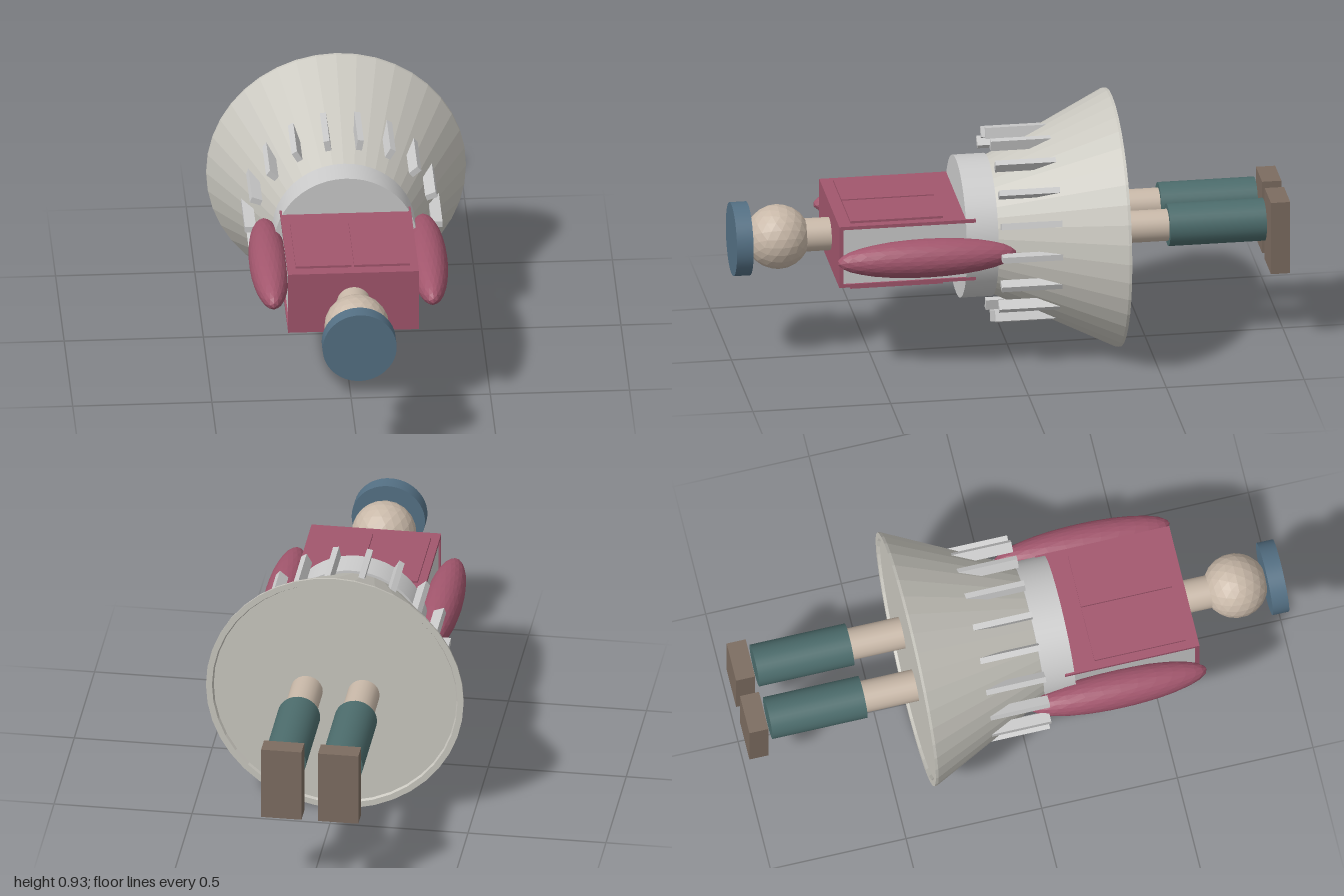
import * as THREE from 'three';

const CY = 0.47; // height of the long axis

const mat = (color, flatShading = false) =>
  new THREE.MeshStandardMaterial({ color, flatShading, side: THREE.DoubleSide });

export function createModel() {
  const model = new THREE.Group();
  const grey = mat(0xcccccc), red = mat(0xa2566d), redFlat = mat(0xa2566d, true);
  const skin = mat(0xc8b8a8), skinFlat = mat(0xc8b8a8, true), blue = mat(0x547084);
  const teal = mat(0x4c6c6c), brown = mat(0x7c6c60), skirtGrey = mat(0xc8c6be, true);

  const add = (name, geometry, material, x = 0, y = CY, z = 0) => {
    const mesh = new THREE.Mesh(geometry, material);
    mesh.name = name;
    mesh.position.set(x, y, z);
    model.add(mesh);
    return mesh;
  };
  // Box given by its limits on each axis
  const box = (name, m, x0, x1, y0, y1, z0, z1) =>
    add(name, new THREE.BoxGeometry(x1 - x0, y1 - y0, z1 - z0), m,
      (x0 + x1) / 2, (y0 + y1) / 2, (z0 + z1) / 2);
  // Cylinder lying along z
  const rod = (name, m, r, z0, z1, x = 0, sides = 40) =>
    add(name, new THREE.CylinderGeometry(r, r, z1 - z0, sides).rotateX(Math.PI / 2), m,
      x, CY, (z0 + z1) / 2);

  // Head, neck and cap
  rod('cap', blue, 0.133, 0.94, 1.0, 0, 48);
  add('head', new THREE.IcosahedronGeometry(0.117, 3), skinFlat, 0, CY, 0.833);
  rod('neck', skin, 0.06, 0.64, 0.75);

  // Torso: grey core held by thin plates
  box('torsoCore', grey, -0.228, 0.228, 0.36, 0.58, 0.15, 0.635);
  box('frontPlate', red, -0.235, 0.235, 0.3525, 0.5875, 0.63, 0.645);
  box('topPlate', red, -0.235, 0.235, 0.575, 0.5875, 0.15, 0.645);
  box('bottomPlate', red, -0.235, 0.235, 0.3525, 0.365, 0.15, 0.645);

  // Paired raised panels, ridges, arms and legs
  for (const s of [-1, 1]) {
    const pair = (name, m, a, b, ...rest) =>
      box(name, m, Math.min(s * a, s * b), Math.max(s * a, s * b), ...rest);
    pair('topPanel', red, 0.005, 0.205, 0.58, 0.596, 0.265, 0.6);
    pair('bottomPanel', red, 0.005, 0.205, 0.335, 0.36, 0.265, 0.6);
    pair('bottomRidge', red, 0.012, 0.022, 0.323, 0.34, 0.265, 0.6);

    const arm = new THREE.IcosahedronGeometry(1, 4).scale(0.07, 0.07, 0.325);
    add('arm', arm, redFlat, s * 0.286, CY, 0.335);

    rod('leg', skin, 0.058, -0.6, -0.36, s * 0.103, 24);
    rod('boot', teal, 0.077, -0.915, -0.565, s * 0.103, 32);
    pair('foot', brown, 0.03, 0.176, 0.285, 0.56, -1, -0.93);
  }

  // Waist and flared skirt with a shallow recessed base
  rod('waist', grey, 0.257, 0.07, 0.185, 0, 48);
  const profile = [[0, 0.075], [0.245, 0.075], [0.466, -0.372], [0.467, -0.382],
    [0.445, -0.382], [0.44, -0.372], [0, -0.372]]
    .map(([r, z]) => new THREE.Vector2(r, -z));
  add('skirt', new THREE.LatheGeometry(profile, 40).rotateX(-Math.PI / 2), skirtGrey);

  // Ring of fins around the skirt
  for (let i = 0; i < 18; i++) {
    const a = i * Math.PI / 9;
    const fin = add('fin', new THREE.BoxGeometry(0.04, 0.022, 0.22), grey,
      0.335 * Math.cos(a), CY + 0.335 * Math.sin(a), -0.04);
    fin.rotation.z = a;
  }
  return model;
}
